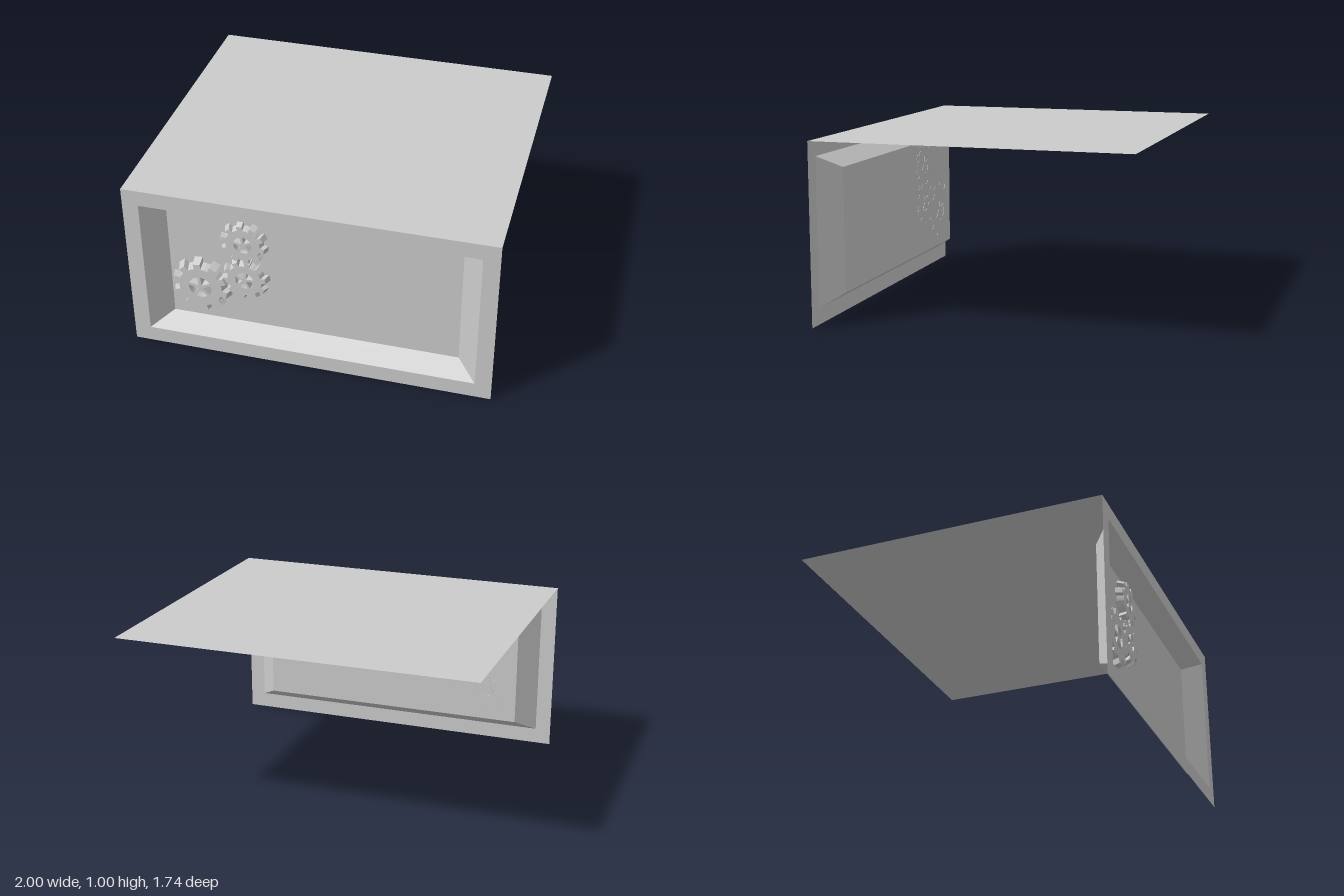
import * as THREE from 'three';

const mat = new THREE.MeshStandardMaterial({ color: 0xcccccc, flatShading: true, side: THREE.DoubleSide });
const FRONT = 0.87, BACK = 0.764;

// Four corners of a rectangle centred on y = 0.5, counter-clockwise from the front
const rect = (hx, hy, z) => [[-hx, 0.5 - hy, z], [hx, 0.5 - hy, z], [hx, 0.5 + hy, z], [-hx, 0.5 + hy, z]];

// Four flat sides joining an outer rectangle to an inner one
function band(outer, inner) {
  const pos = [];
  for (let i = 0; i < 4; i++) {
    const j = (i + 1) % 4;
    pos.push(...outer[i], ...outer[j], ...inner[j], ...outer[i], ...inner[j], ...inner[i]);
  }
  const geo = new THREE.BufferGeometry();
  geo.setAttribute('position', new THREE.Float32BufferAttribute(pos, 3));
  geo.computeVertexNormals();
  return geo;
}

// Toothed disc with wedge-shaped openings around its hub, narrowing to the front
function gearGeometry(r, teeth, phase, depth) {
  const shape = new THREE.Shape();
  const step = (Math.PI * 2) / teeth;
  const polar = (rad, a) => new THREE.Vector2(rad * Math.cos(a), rad * Math.sin(a));
  const pts = [];
  for (let i = 0; i < teeth; i++) {
    const a = phase + i * step;
    pts.push(polar(r * 0.8, a - step * 0.25), polar(r, a - step * 0.21),
      polar(r, a + step * 0.21), polar(r * 0.8, a + step * 0.25), polar(r * 0.8, a + step * 0.5));
  }
  shape.setFromPoints(pts);
  const wedge = (Math.PI * 2) / 5;
  for (let i = 0; i < 5; i++) {
    const a = phase + i * wedge, hole = [polar(r * 0.1, a + wedge / 2)];
    for (let k = 0; k <= 4; k++) hole.push(polar(r * 0.43, a + wedge * (0.1 + 0.2 * k)));
    shape.holes.push(new THREE.Path(hole));
  }
  const geo = new THREE.ExtrudeGeometry(shape, { depth, bevelEnabled: false });
  const p = geo.attributes.position;
  for (let i = 0; i < p.count; i++) {
    const s = p.getZ(i) > depth / 2 ? 0.88 : 1;
    p.setXY(i, p.getX(i) * s, p.getY(i) * s);
  }
  geo.computeVertexNormals();
  return geo;
}

export function createModel() {
  const group = new THREE.Group();
  const add = (name, geo) => {
    const mesh = new THREE.Mesh(geo, mat);
    mesh.name = name;
    group.add(mesh);
    return mesh;
  };

  // Flat roof sheet
  add('roof', new THREE.PlaneGeometry(2, FRONT * 2).rotateX(-Math.PI / 2)).position.y = 1;

  // Front border, sloping recess walls and recessed panel
  const opening = rect(0.91, 0.41, FRONT);
  add('frontFrame', band(rect(1, 0.5, FRONT), opening));
  add('recessWalls', band(opening, rect(0.8, 0.342, BACK)));
  add('recessPanel', new THREE.PlaneGeometry(1.6, 0.684)).position.set(0, 0.5, BACK);

  // Three meshing gears on the panel
  const gears = [
    ['largeGear', -0.62, 0.385, 0.172, 10, 1.67],
    ['middleGear', -0.37, 0.47, 0.135, 10, 1.4],
    ['upperGear', -0.37, 0.705, 0.135, 10, 1.7],
  ];
  for (const [name, x, y, r, teeth, phase] of gears) {
    add(name, gearGeometry(r, teeth, phase, r * 0.3)).position.set(x, y, BACK - 0.002);
  }
  return group;
}
